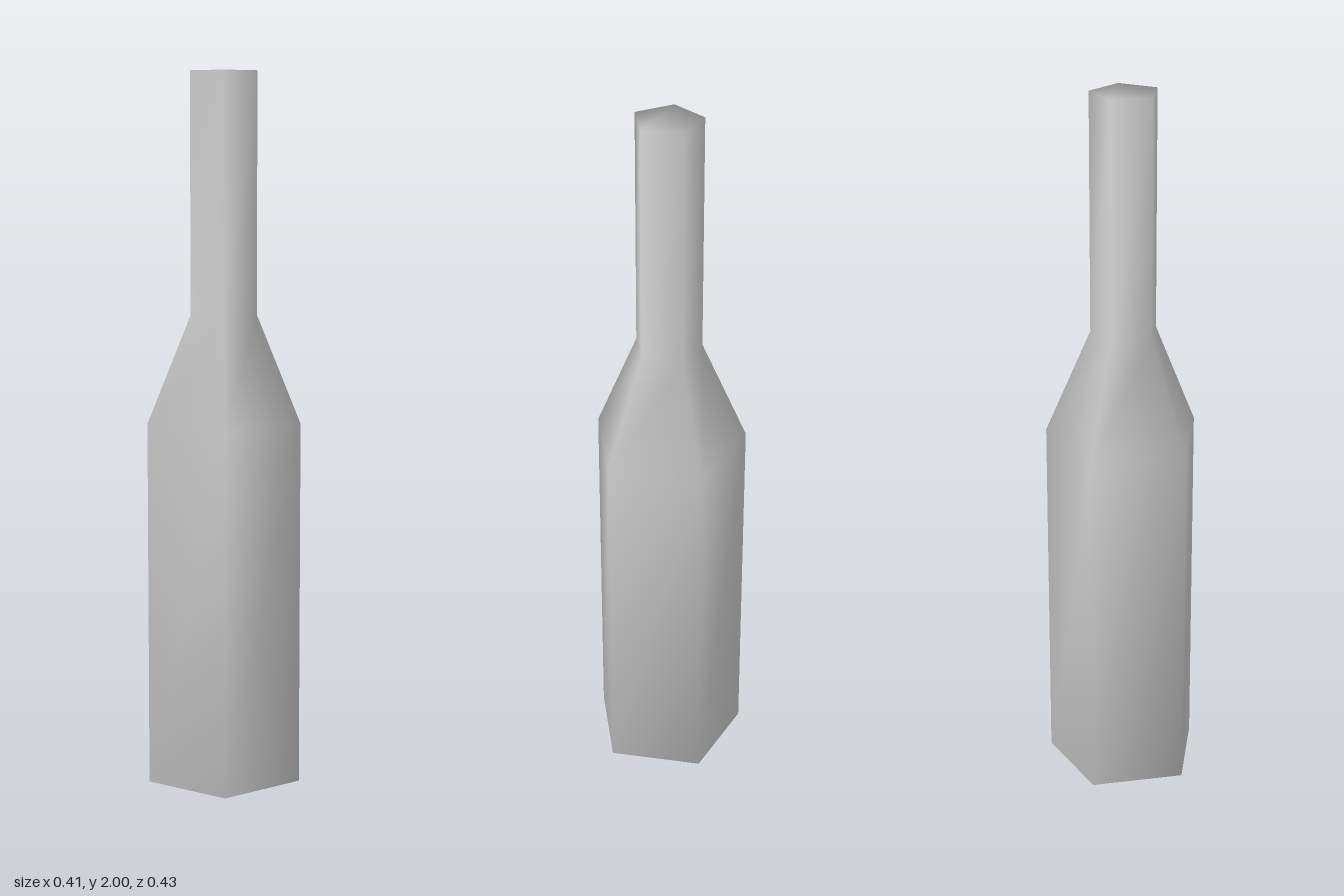
import * as THREE from 'three';

const SIDES = 5;
const AXIS_X = -0.022;

// [radius, height] of each ring, from base to mouth
const RINGS = [
  [0.224, 0],     // base
  [0.224, 1.03],  // top of body
  [0.097, 1.33],  // foot of neck
  [0.097, 2],     // mouth
];

// Closed five-sided lathe with shared corners, so the shading runs smoothly round all edges
function bottleGeometry() {
  const points = [];
  for (const [r, y] of RINGS) {
    for (let i = 0; i < SIDES; i++) {
      const a = (i / SIDES) * Math.PI * 2;
      points.push(AXIS_X + r * Math.cos(a), y, r * Math.sin(a));
    }
  }

  const faces = [];
  // Walls of body, shoulder and neck
  for (let k = 0; k < RINGS.length - 1; k++) {
    for (let i = 0; i < SIDES; i++) {
      const j = (i + 1) % SIDES;
      const low = k * SIDES, high = low + SIDES;
      faces.push(high + i, low + j, low + i);
      faces.push(high + i, high + j, low + j);
    }
  }
  // Base and mouth caps
  const top = (RINGS.length - 1) * SIDES;
  for (let i = 1; i < SIDES - 1; i++) {
    faces.push(0, i, i + 1);
    faces.push(top, top + i + 1, top + i);
  }

  const geometry = new THREE.BufferGeometry();
  geometry.setAttribute('position', new THREE.Float32BufferAttribute(points, 3));
  geometry.setIndex(faces);
  geometry.computeVertexNormals();
  return geometry;
}

export function createModel() {
  const model = new THREE.Group();
  model.name = 'bottle';

  const grey = new THREE.MeshStandardMaterial({ color: 0xcccccc });
  grey.name = 'light grey';

  const body = new THREE.Mesh(bottleGeometry(), grey);
  body.name = 'bottleBody';
  model.add(body);
  return model;
}
